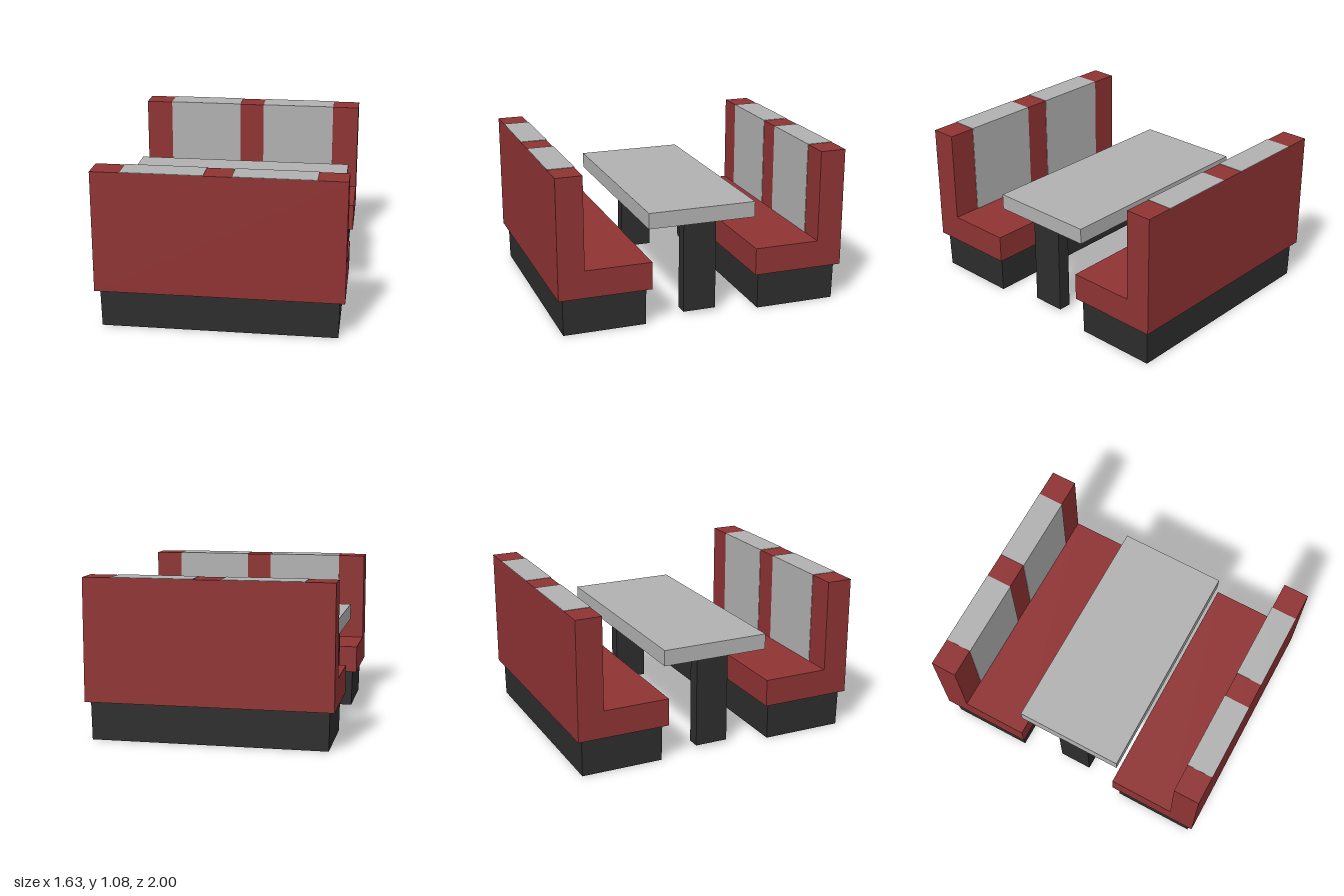
import * as THREE from 'three';

const red = new THREE.MeshStandardMaterial({ color: 0x8f3333 });
red.name = 'redUpholstery';
const grey = new THREE.MeshStandardMaterial({ color: 0xb1b1b1 });
grey.name = 'paleGrey';
const dark = new THREE.MeshStandardMaterial({ color: 0x2d2d2d });
dark.name = 'charcoal';

function add(parent, name, geometry, material, x = 0, y = 0, z = 0) {
  const mesh = new THREE.Mesh(geometry, material);
  mesh.name = name;
  mesh.position.set(x, y, z);
  parent.add(mesh);
  return mesh;
}

// Extrudes a [z, y] profile along x, centred on x = 0
function extrudeAlongX(profile, width) {
  const shape = new THREE.Shape(profile.map(([z, y]) => new THREE.Vector2(z, y)));
  return new THREE.ExtrudeGeometry(shape, { depth: width, bevelEnabled: false })
    .translate(0, 0, -width / 2)
    .rotateY(-Math.PI / 2);
}

// One bench with its backrest on the +z side
function createBench(name) {
  const bench = new THREE.Group();
  bench.name = name;

  // Plinth, slightly narrower at the floor
  const plinth = new THREE.BoxGeometry(1.57, 0.257, 0.568);
  const p = plinth.attributes.position;
  for (let i = 0; i < p.count; i++) {
    if (p.getY(i) < 0) p.setXYZ(i, p.getX(i) * 0.993, p.getY(i), p.getZ(i) * 0.99);
  }
  plinth.computeVertexNormals();
  add(bench, 'plinth', plinth, dark, 0, 0.1285, 0.683);

  // L-shaped seat and backrest
  const seatProfile = [
    [0.367, 0.257], [1, 0.257], [1, 1.075], [0.822, 1.075], [0.822, 0.445], [0.367, 0.445],
  ];
  add(bench, 'seatAndBackrest', extrudeAlongX(seatProfile, 1.635), red);

  // Grey panels running up the inner face and over the top
  const t = 0.003;
  const panelProfile = [
    [0.822 - t, 0.445], [0.822, 0.445], [0.822, 1.075],
    [1, 1.075], [1, 1.075 + t], [0.822 - t, 1.075 + t],
  ];
  for (const side of [-1, 1]) {
    add(bench, 'backrestPanel', extrudeAlongX(panelProfile, 0.535), grey, side * 0.3575);
  }
  return bench;
}

// Table with a dark underside and a slab leg at each end
function createTable() {
  const table = new THREE.Group();
  table.name = 'table';
  const faces = [grey, grey, grey, dark, grey, grey];
  add(table, 'tableTop', new THREE.BoxGeometry(1.535, 0.108, 0.746), faces, 0, 0.708, 0);
  for (const side of [-1, 1]) {
    add(table, 'tableLeg', new THREE.BoxGeometry(0.09, 0.634, 0.23), dark, side * 0.675, 0.337, 0);
  }
  return table;
}

export function createModel() {
  const model = new THREE.Group();
  model.name = 'diningBooth';
  const back = createBench('backBench');
  back.rotation.y = Math.PI;
  model.add(createBench('frontBench'), back, createTable());
  return model;
}
